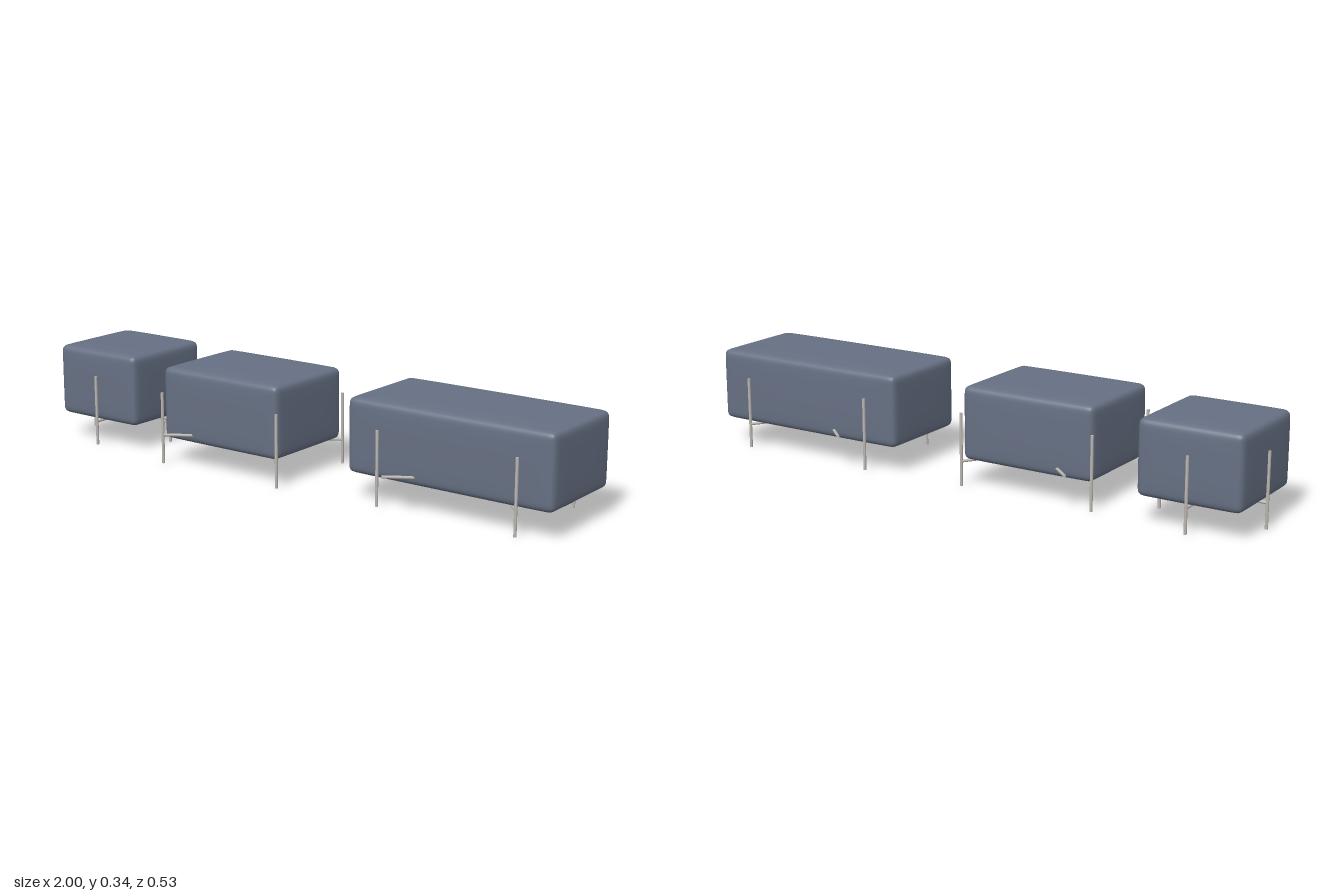
import * as THREE from 'three';
import { mergeVertices } from 'three/addons/utils/BufferGeometryUtils.js';

const fabric = new THREE.MeshStandardMaterial({ color: 0x667083 });
fabric.name = 'slate fabric';
const metal = new THREE.MeshStandardMaterial({ color: 0xbab6b0 });
metal.name = 'brushed metal';

const ROD = 0.005;
const LEG_TOP = 0.245;
const BAR_Y = 0.083;

// Rounded box with softly swelling top, bottom and sides
function cushionGeometry(w, h, d, radius, bulge) {
  const g = new THREE.BoxGeometry(2, 2, 2, 24, 24, 24);
  g.deleteAttribute('uv');
  g.deleteAttribute('normal');
  const half = new THREE.Vector3(w / 2 - bulge, h / 2 - bulge, d / 2 - bulge);
  const inner = half.clone().subScalar(radius);
  const pos = g.attributes.position;
  const p = new THREE.Vector3();
  const core = new THREE.Vector3();
  const ease = (t) => Math.sin(t * Math.PI / 2); // denser rows near the edges
  const swell = (a, b) => (1 - a ** 4) * (1 - b ** 4) * bulge;
  for (let i = 0; i < pos.count; i++) {
    p.fromBufferAttribute(pos, i);
    p.set(ease(p.x), ease(p.y), ease(p.z)).multiply(half);
    core.copy(p).clamp(inner.clone().negate(), inner);
    p.sub(core).setLength(radius).add(core);
    const u = p.clone().divide(half);
    p.x += u.x * swell(u.y, u.z);
    p.y += u.y * swell(u.x, u.z);
    p.z += u.z * swell(u.x, u.y);
    pos.setXYZ(i, p.x, p.y, p.z);
  }
  const merged = mergeVertices(g, 1e-6);
  merged.computeVertexNormals();
  return merged;
}

// Round rod between two points
function rod(name, a, b) {
  const from = new THREE.Vector3(...a);
  const dir = new THREE.Vector3(...b).sub(from);
  const mesh = new THREE.Mesh(new THREE.CylinderGeometry(ROD, ROD, dir.length(), 16), metal);
  mesh.position.copy(from).addScaledVector(dir, 0.5);
  mesh.quaternion.setFromUnitVectors(new THREE.Vector3(0, 1, 0), dir.normalize());
  mesh.name = name;
  return mesh;
}

// One pouf: cushion, legs at the given local spots, and under-bars
function pouf({ name, x, z, width, depth, legs, bars }) {
  const group = new THREE.Group();
  group.name = name;
  group.position.set(x, 0, z);
  const cushion = new THREE.Mesh(cushionGeometry(width, 0.252, depth, 0.02, 0.004), fabric);
  cushion.name = 'cushion';
  cushion.position.y = 0.211;
  group.add(cushion);
  legs.forEach(([lx, lz]) => group.add(rod('leg', [lx, 0, lz], [lx, LEG_TOP, lz])));
  bars.forEach(([a, b]) => group.add(rod('crossBar', a, b)));
  return group;
}

const corners = (x, z) => [[x, z], [x, -z], [-x, z], [-x, -z]];

// Rising diagonal bars that start at the right-hand legs and poke out past the sides
const diagonals = (x, z, endX, endZ) => [1, -1].map((s) => [
  [x, BAR_Y, s * z], [endX, 0.122, -s * endZ],
]);

export function createModel() {
  const model = new THREE.Group();
  model.name = 'poufSet';

  // Small cube with a leg at the middle of each side
  model.add(pouf({
    name: 'smallPouf', x: -0.814, z: -0.021, width: 0.356, depth: 0.352,
    legs: [[0.181, 0], [-0.181, 0], [0, 0.179], [0, -0.179]],
    bars: [
      [[-0.181, BAR_Y, 0], [0.181, BAR_Y, 0]],
      [[0, BAR_Y, -0.179], [0, BAR_Y, 0.179]],
    ],
  }));

  // Medium pouf with a leg at each corner
  model.add(pouf({
    name: 'mediumPouf', x: -0.23, z: 0.015, width: 0.486, depth: 0.362,
    legs: corners(0.242, 0.181),
    bars: diagonals(0.242, 0.181, -0.182, 0.243),
  }));

  // Long bench with two legs along each long side
  model.add(pouf({
    name: 'longPouf', x: 0.627, z: -0.019, width: 0.74, depth: 0.354,
    legs: corners(0.248, 0.179),
    bars: diagonals(0.248, 0.179, -0.187, 0.242),
  }));

  return model;
}
